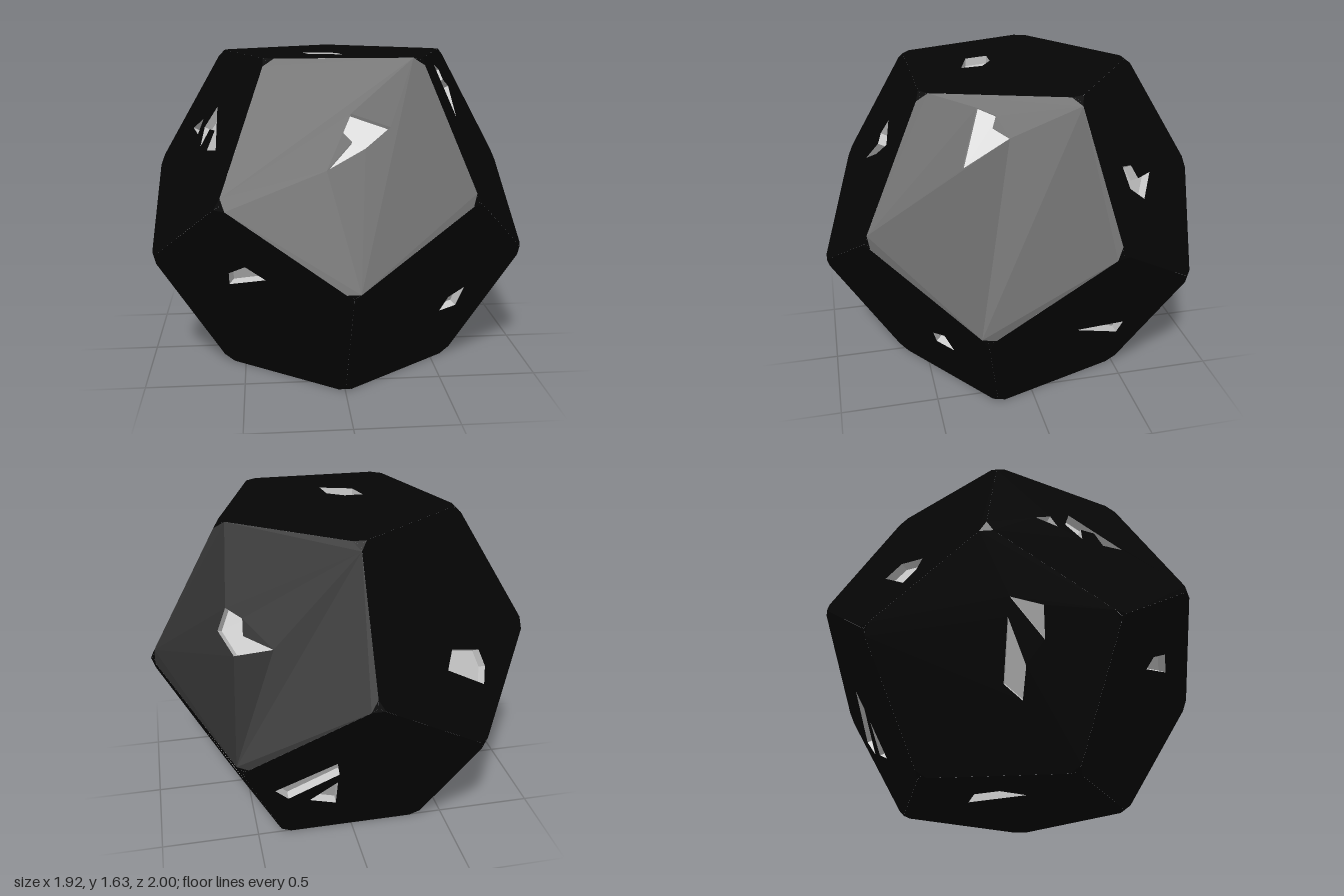
import * as THREE from 'three';

const IN = 0.8165;               // distance from centre to each face
const RAD = 0.6235;              // corner radius of each pentagon
const CUT = 0.04;                // length trimmed off each edge end
const DEPTH = 0.04;              // depth of the engraved recesses
const TILT = Math.atan(0.5);
const V2 = (x, y) => new THREE.Vector2(x, y);
const V3 = (x, y, z) => new THREE.Vector3(x, y, z);

// recess outlines are drawn on a flat plane and projected onto the tilted face
const FRONT = { axis: V3(0, 0, 1), at: (x, y) => V3(x, y - IN, 0) };
const SIDE = { axis: V3(1, 0, 0), at: (z, y) => V3(0, y - IN, z) };
const TOP = { axis: V3(0, 1, 0), at: (x, z) => V3(x, 0, z) };

const black = new THREE.MeshStandardMaterial({ color: 0x050505 });
const grey = new THREE.MeshStandardMaterial({ color: 0xcccccc });
const greyThin = new THREE.MeshStandardMaterial({ color: 0xcccccc, side: THREE.DoubleSide });

function trianglesGeometry(points) {
  const g = new THREE.BufferGeometry().setFromPoints(points);
  g.computeVertexNormals();
  return g;
}

// pentagon with its corners trimmed, plus each corner's share of the trim facet
function trimmedPentagon(sign) {
  const corners = [], outline = [], caps = [];
  for (let i = 0; i < 5; i++) {
    const a = sign * Math.PI / 2 + i * Math.PI * 0.4;
    corners.push(V2(RAD * Math.cos(a), RAD * Math.sin(a)));
  }
  const toward = (a, b) => b.clone().sub(a).setLength(CUT).add(a);
  const shrink = 1 - 0.357 * CUT / Math.hypot(IN, RAD);
  corners.forEach((c, i) => {
    const p = toward(c, corners[(i + 4) % 5]), q = toward(c, corners[(i + 1) % 5]);
    outline.push(p, q);
    caps.push(V3(q.x, q.y, 0), V3(p.x, p.y, 0), V3(c.x * shrink, c.y * shrink, IN * (shrink - 1)));
  });
  return { outline, caps };
}

// side walls of a recess, from the face surface down to its floor
function recessWalls(outline) {
  const pts = [];
  outline.forEach((a, i) => {
    const b = outline[(i + 1) % outline.length];
    const a0 = V3(a.x, a.y, 0), b0 = V3(b.x, b.y, 0);
    const a1 = V3(a.x, a.y, -DEPTH), b1 = V3(b.x, b.y, -DEPTH);
    pts.push(a0, b0, b1, a0, b1, a1);
  });
  return trianglesGeometry(pts);
}

// one face of the die, turned to an azimuth (degrees) and elevation (radians)
function makeFace(name, azimuth, el, plane, ...marks) {
  const a = THREE.MathUtils.degToRad(azimuth);
  const n = V3(Math.sin(a) * Math.cos(el), Math.sin(el), Math.cos(a) * Math.cos(el));
  const u = V3(Math.cos(a), 0, -Math.sin(a));
  const v = n.clone().cross(u);
  const toLocal = ([s, t]) => {
    const p = plane.at(s, t);
    p.addScaledVector(plane.axis, (IN - n.dot(p)) / n.dot(plane.axis));
    return V2(p.dot(u), p.dot(v));
  };

  const face = new THREE.Group();
  face.name = name;
  face.quaternion.setFromRotationMatrix(new THREE.Matrix4().makeBasis(u, v, n));
  face.position.copy(n).multiplyScalar(IN);
  face.position.y += IN;
  const add = (part, geometry, material, z = 0) => {
    const mesh = new THREE.Mesh(geometry, material);
    mesh.name = part;
    mesh.position.z = z;
    face.add(mesh);
  };

  // black panel with openings, and its trimmed corners
  const { outline, caps } = trimmedPentagon(el === TILT ? -1 : 1);
  const panel = new THREE.Shape(outline);
  const outlines = marks.map((m) => m.map(toLocal));
  outlines.forEach((o) => panel.holes.push(new THREE.Path(o)));
  add('facePanel', new THREE.ShapeGeometry(panel), black);
  add('trimmedCorners', trianglesGeometry(caps), black);

  // engraved recesses
  outlines.forEach((o) => {
    add('recessFloor', new THREE.ShapeGeometry(new THREE.Shape(o)), grey, -DEPTH);
    add('recessWalls', recessWalls(o), greyThin);
  });
  return face;
}

export function createModel() {
  const model = new THREE.Group();
  model.name = 'twelveSidedDie';

  // flat faces above and below
  model.add(
    makeFace('topFace', 0, Math.PI / 2, TOP,
      [[-.18, .085], [-.085, .085], [0, .14], [.015, .25], [-.15, .2]]),
    makeFace('bottomFace', 0, -Math.PI / 2, TOP,
      [[-.01, -.213], [-.16, -.21], [-.24, -.1], [-.198, .043]]),
  );

  // upper ring
  model.add(
    makeFace('upperFrontFace', 0, TILT, FRONT,
      [[.02, 1.39], [.2, 1.33], [.08, 1.24], [-.1, 1.15], [.02, 1.27], [-.02, 1.31]]),
    makeFace('upperLeftFace', 72, TILT, SIDE,
      [[.26, 1.58], [.18, 1.55], [.2, 1.5], [.13, 1.46], [.35, 1.33]]),
    makeFace('upperBackLeftFace', 144, TILT, SIDE,
      [[-.41, 1.28], [-.48, 1.25], [-.52, 1.18], [-.63, 1.15], [-.54, 1.09], [-.44, 1.18]]),
    makeFace('upperBackRightFace', 216, TILT, FRONT,
      [[-.45, 1.07], [-.62, 1.01], [-.65, .93], [-.63, .86], [-.41, 1]]),
    makeFace('upperRightFace', 288, TILT, TOP,
      [[-.75, -.03], [-.69, .06], [-.72, .09]],
      [[-.68, .14], [-.61, .18], [-.61, .46], [-.66, .34], [-.62, .31], [-.65, .23], [-.7, .22]]),
  );

  // lower ring
  model.add(
    makeFace('lowerFrontLeftFace', 36, -TILT, FRONT,
      [[.49, .36], [.53, .44], [.62, .475], [.59, .36]]),
    makeFace('lowerLeftFace', 108, -TILT, SIDE,
      [[-.17, .485], [-.47, .4], [-.45, .315]]),
    makeFace('lowerBackFace', 180, -TILT, FRONT,
      [[.43, .43], [.14, .61], [.12, .51], [.36, .34]],
      [[.12, .44], [.11, .24], [.25, .3]]),
    makeFace('lowerRightFace', 252, -TILT, SIDE,
      [[-.18, .72], [-.03, .68], [-.01, .54]],
      [[-.18, .64], [-.08, .44], [-.08, .3], [-.17, .37]]),
    makeFace('lowerFrontRightFace', 324, -TILT, FRONT,
      [[-.56, .63], [-.56, .56], [-.385, .635], [-.48, .69]]),
  );
  return model;
}
